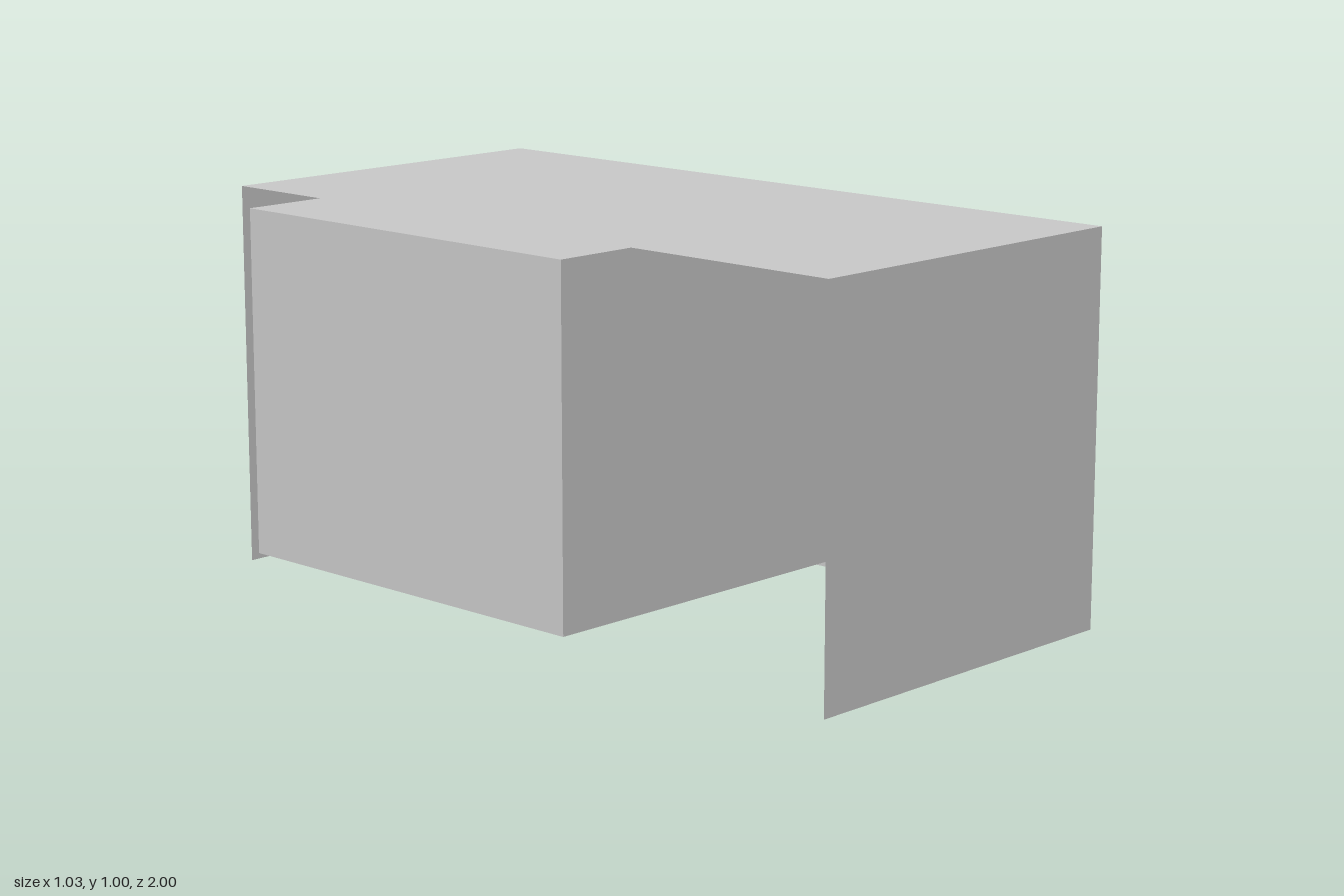
import * as THREE from 'three';

const material = new THREE.MeshStandardMaterial({ color: 0xcccccc, side: THREE.DoubleSide, flatShading: true });
const BACK = -0.517, FRONT = 0.481, DRAWER_FRONT = 0.515;

// Box of thin sheets from min to max, keeping only the listed sides
// (0 +x, 1 -x, 2 +y, 3 -y, 4 +z, 5 -z)
function sheetBox(name, min, max, sides) {
  const size = max.map((v, i) => v - min[i]);
  const geometry = new THREE.BoxGeometry(...size);
  geometry.translate(...min.map((v, i) => v + size[i] / 2));
  const index = Array.from(geometry.index.array);
  geometry.setIndex(sides.flatMap((s) => index.slice(s * 6, s * 6 + 6)));
  geometry.clearGroups();
  const mesh = new THREE.Mesh(geometry, material);
  mesh.name = name;
  return mesh;
}

// Rectangle outline in the front plane, with u = -z
function rectangle(PathType, { y0, y1, z0, z1 }) {
  return new PathType([[-z1, y0], [-z0, y0], [-z0, y1], [-z1, y1]].map(([u, y]) => new THREE.Vector2(u, y)));
}

export function createModel() {
  const desk = new THREE.Group();
  desk.name = 'desk';

  const kneeHole = { y0: 0.025, y1: 0.945, z0: -0.97, z1: 0.172 };
  const drawers = [[0.028, 0.33], [0.347, 0.636], [0.652, 0.942]]
    .map(([y0, y1]) => ({ y0, y1, z0: 0.186, z1: 0.968 }));

  // Desk top and two end panels, open at the back and underneath
  desk.add(sheetBox('topAndEndPanels', [BACK, 0, -1], [FRONT, 1, 1], [2, 4, 5]));

  // Front frame with openings for the knee hole and drawers
  const outline = rectangle(THREE.Shape, { y0: 0, y1: 1, z0: -1, z1: 1 });
  outline.holes = [kneeHole, ...drawers].map((r) => rectangle(THREE.Path, r));
  const frame = new THREE.Mesh(new THREE.ShapeGeometry(outline), material);
  frame.name = 'frontFrame';
  frame.rotation.y = Math.PI / 2;
  frame.position.x = FRONT;
  desk.add(frame);

  // Knee hole lining, open to the front
  desk.add(sheetBox('kneeHole', [BACK, kneeHole.y0, kneeHole.z0], [FRONT, kneeHole.y1, kneeHole.z1], [1, 2, 3, 4, 5]));

  // Stack of raised drawer fronts
  drawers.forEach(({ y0, y1, z0, z1 }, i) => {
    desk.add(sheetBox(`drawerFront${i + 1}`, [FRONT, y0, z0], [DRAWER_FRONT, y1, z1], [0, 2, 3, 4, 5]));
  });

  return desk;
}
